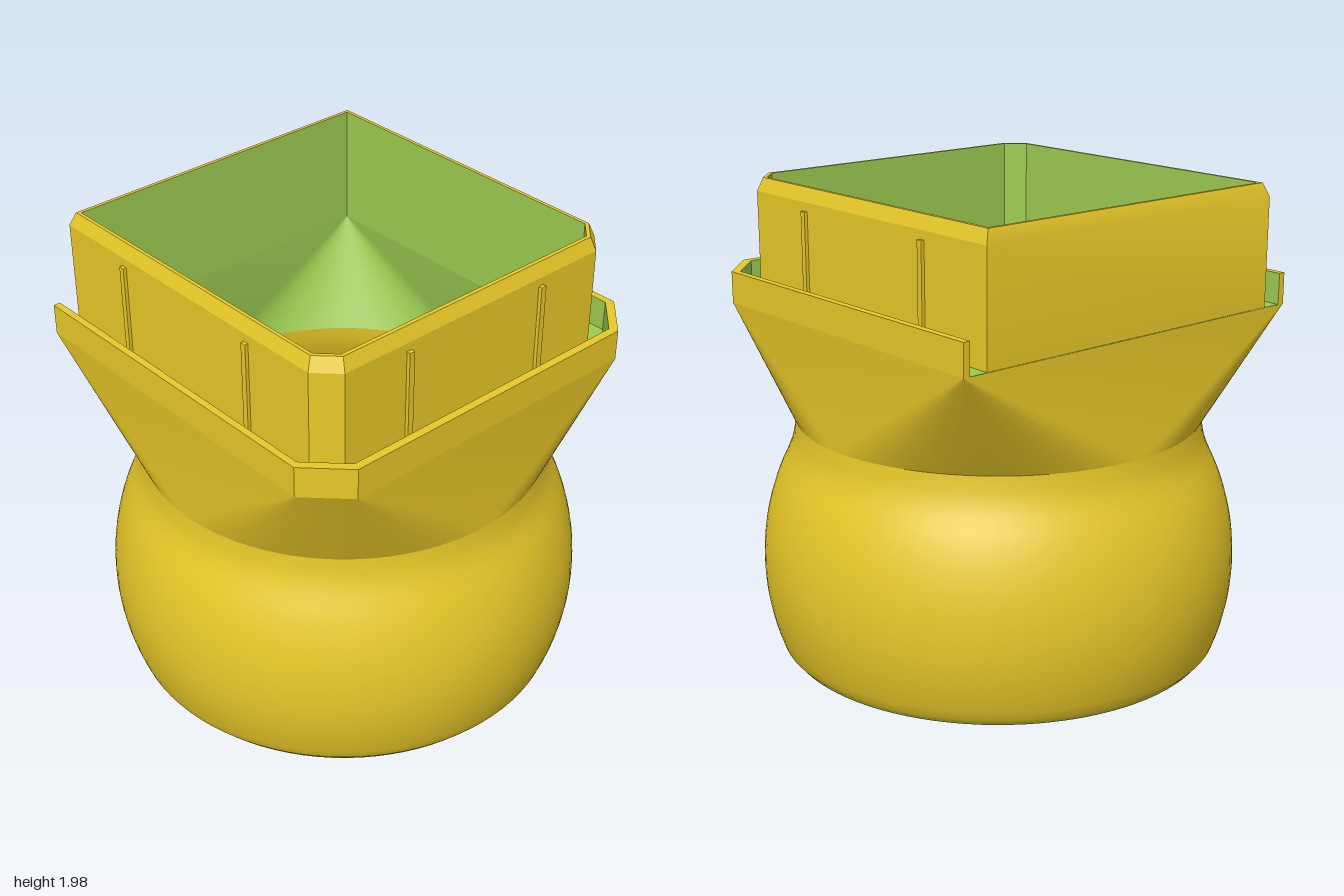
import * as THREE from 'three';
import { toCreasedNormals } from 'three/addons/utils/BufferGeometryUtils.js';

const STEPS = 24; // arc steps per quarter circle

// Plan outline: square back corners, chamfered front corners, as [x, z]
const outline = (x, back, front, c) => [
  [x, front - c], [x - c, front], [c - x, front], [-x, front - c], [-x, back], [x, back],
];
const at = (plan, y) => plan.map(([x, z]) => [x, y, z]);
// The same outline as an open path from back right, round the front, to back left
const open = (plan) => [plan[5], ...plan.slice(0, 5)];

// Skin through successive rings of equal length
function skin(rings, closed = true, crease = 0.35) {
  const pos = [];
  const tri = (a, b, c) => {
    const [A, B, C] = [a, b, c].map((p) => new THREE.Vector3(...p));
    const area = B.clone().sub(A).cross(C.clone().sub(A)).length();
    if (area > 1e-7) pos.push(...a, ...b, ...c);
  };
  for (let r = 0; r < rings.length - 1; r++) {
    const a = rings[r], b = rings[r + 1], n = a.length;
    for (let i = 0; i < (closed ? n : n - 1); i++) {
      const j = (i + 1) % n;
      tri(a[i], b[i], b[j]);
      tri(a[i], b[j], a[j]);
    }
  }
  const g = new THREE.BufferGeometry();
  g.setAttribute('position', new THREE.Float32BufferAttribute(pos, 3));
  g.computeVertexNormals();
  return toCreasedNormals(g, crease);
}

// Matching rings for a circle-to-outline transition: each corner fans over its arc
function transition(radius, y0, plan, y1) {
  const arcs = [[0, 45], [45, 90], [90, 135], [135, 180], [180, 270], [270, 360]];
  const low = [], high = [];
  arcs.forEach(([from, to], k) => {
    const n = STEPS * (to - from) / 90;
    for (let i = 0; i <= n; i++) {
      const t = THREE.MathUtils.degToRad(from + (to - from) * i / n);
      low.push([radius * Math.cos(t), y0, radius * Math.sin(t)]);
      high.push([plan[k][0], y1, plan[k][1]]);
    }
  });
  return [low, high];
}

const lathe = (points) =>
  new THREE.LatheGeometry(points.map(([x, y]) => new THREE.Vector2(x, y)), STEPS * 4);

export function createModel() {
  const yellow = new THREE.MeshStandardMaterial({ color: 0xf9d72c });
  yellow.name = 'yellow';
  const green = new THREE.MeshStandardMaterial({ color: 0x9dcb51 });
  green.name = 'green';
  const model = new THREE.Group();
  model.name = 'roundToSquareAdapter';
  const add = (name, geometry, material) => {
    const m = new THREE.Mesh(geometry, material);
    m.name = name;
    model.add(m);
    return m;
  };

  // Ball socket: spherical shell that flares into a straight neck
  const ball = (r, neck, start) => {
    const pts = [];
    for (let i = 0; i <= 18; i++) {
      const y = start + (0.79 - start) * i / 18;
      pts.push([Math.sqrt(r * r - (y - 0.38) ** 2), y]);
    }
    pts.push([neck + 0.038, 0.84], [neck + 0.018, 0.89], [neck + 0.006, 0.94], [neck, 1.0]);
    return pts;
  };
  const outer = ball(1, 0.85, 0.03);
  outer.unshift([0.918, 0.01]);
  add('ballShell', lathe(outer), yellow);
  add('ballInside', lathe(ball(0.975, 0.83, 0).reverse()), yellow);
  add('bottomLip', lathe([[0.898, 0], [0.912, 0], [0.918, 0.01]]), green);

  // Plan outlines of the square end
  const rimOut = outline(0.85, -0.8, 0.845, 0.16);
  const rimIn = outline(0.82, -0.8, 0.81, 0.145);
  const collarOut = outline(0.74, -0.797, 0.73, 0.09);
  const collarBevel = outline(0.717, -0.777, 0.707, 0.08);
  const collarIn = outline(0.702, -0.762, 0.69, 0.07);
  const floorY = 1.47, rimY = 1.6, topY = 1.98;

  // Round-to-square transition
  add('transitionOutside', skin(transition(0.85, 1.0, rimOut, floorY)), yellow);
  add('transitionInside', skin(transition(0.83, 1.0, collarIn, floorY).reverse()), green);

  // Outer rim, open at the back, with a channel round the collar
  const rim = [at(open(rimOut), floorY), at(open(rimOut), rimY), at(open(rimIn), rimY)];
  add('rim', skin(rim, false), yellow);
  const channel = [at(open(rimIn), rimY), at(open(rimIn), floorY), at(open(collarOut), floorY)];
  add('channel', skin(channel, false), green);
  for (const [a, b] of [[0.82, 0.85], [-0.85, -0.82]]) {
    const end = [floorY, rimY].map((y) => [[a, y, -0.8], [b, y, -0.8]]);
    add('rimEnd', skin(end, false), yellow);
  }

  // Square collar with a bevelled top edge
  const collar = [at(collarOut, floorY), at(collarOut, 1.925), at(collarBevel, topY), at(collarIn, topY)];
  add('collar', skin(collar), yellow);
  add('collarInside', skin([at(collarIn, topY), at(collarIn, floorY)]), green);

  // Slim grip ribs on the front and both sides
  const rib = (x, z, w, d) =>
    add('gripRib', new THREE.BoxGeometry(w, 1.89 - floorY, d), yellow)
      .position.set(x, (1.89 + floorY) / 2, z);
  for (const s of [-1, 1]) {
    rib(s * 0.342, 0.734, 0.025, 0.024);
    for (const z of [0.3, -0.435]) rib(s * 0.742, z, 0.024, 0.025);
  }
  return model;
}
